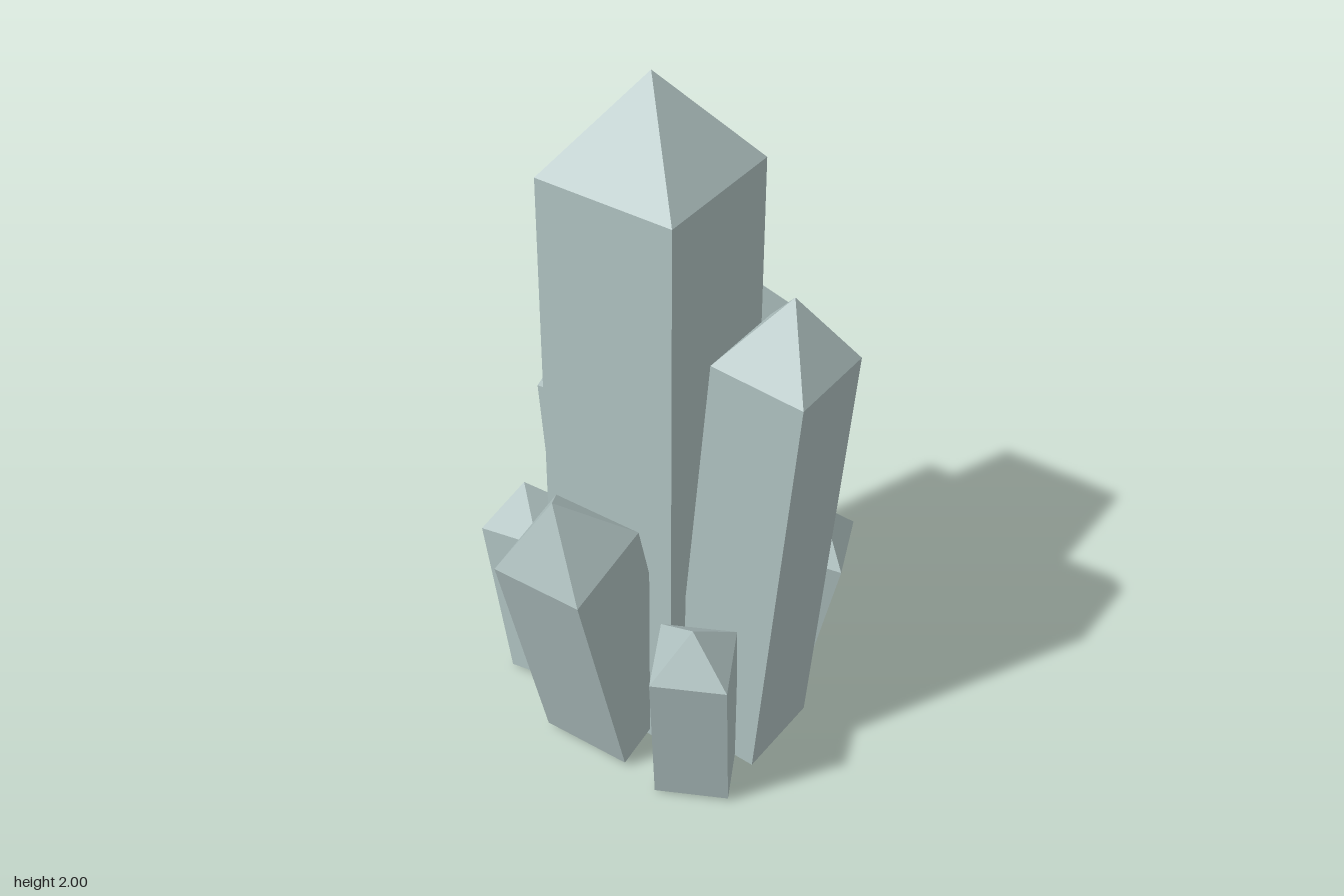
import * as THREE from 'three';

const crystalMat = new THREE.MeshStandardMaterial({ color: 0xafc1c0, flatShading: true });
crystalMat.name = 'pale grey-green crystal';

// Square shaft with a pyramid tip; the origin sits at the shoulder between them.
// top: shoulder centre, size: [width, depth], lean: sideways drift per unit of height.
function crystal({ name, top, size, length, tip, lean = [0, 0], yaw = 0 }) {
  const r = Math.SQRT1_2;
  const profile = [[0, -length], [r, -length], [r, 0], [0, tip]].map(([x, y]) => new THREE.Vector2(x, y));
  const geo = new THREE.LatheGeometry(profile, 4, Math.PI / 4).toNonIndexed();
  geo.scale(size[0], 1, size[1]);
  geo.computeVertexNormals();

  const mesh = new THREE.Mesh(geo, crystalMat);
  mesh.name = name;
  mesh.position.set(...top);
  const axis = new THREE.Vector3(lean[0], 1, lean[1]).normalize();
  const up = new THREE.Vector3(0, 1, 0);
  mesh.quaternion
    .setFromUnitVectors(up, axis)
    .multiply(new THREE.Quaternion().setFromAxisAngle(up, yaw));
  return mesh;
}

export function createModel() {
  const group = new THREE.Group();
  group.name = 'crystalCluster';

  const crystals = [
    // Tall upright centre
    { name: 'centreCrystal', top: [0.003, 1.735, -0.04], size: [0.405, 0.405], length: 1.705, tip: 0.265 },
    // Large crystals around it, leaning outwards
    { name: 'frontCrystal', top: [0.003, 1.322, 0.365], size: [0.27, 0.27], length: 1.285, tip: 0.198, lean: [0, 0.085] },
    { name: 'leftCrystal', top: [0.37, 1.085, -0.042], size: [0.27, 0.335], length: 1.055, tip: 0.165, lean: [0.046, 0] },
    { name: 'rightCrystal', top: [-0.378, 0.775, -0.042], size: [0.274, 0.268], length: 0.745, tip: 0.202, lean: [-0.264, 0] },
    // Back pair
    { name: 'backLeftCrystal', top: [0.173, 0.853, -0.383], size: [0.202, 0.202], length: 0.838, tip: 0.198, lean: [0, -0.085] },
    { name: 'backRightCrystal', top: [-0.082, 0.508, -0.4], size: [0.202, 0.202], length: 0.49, tip: 0.122, lean: [0, -0.176] },
    // Small turned crystals at the front corners
    { name: 'frontRightCrystal', top: [-0.293, 0.513, 0.3], size: [0.203, 0.203], length: 0.488, tip: 0.119, lean: [-0.157, 0.077], yaw: 0.46 },
    { name: 'frontLeftCrystal', top: [0.305, 0.509, 0.292], size: [0.205, 0.203], length: 0.487, tip: 0.124, lean: [0, 0.225], yaw: 0.39 },
  ];
  for (const c of crystals) group.add(crystal(c));
  return group;
}
